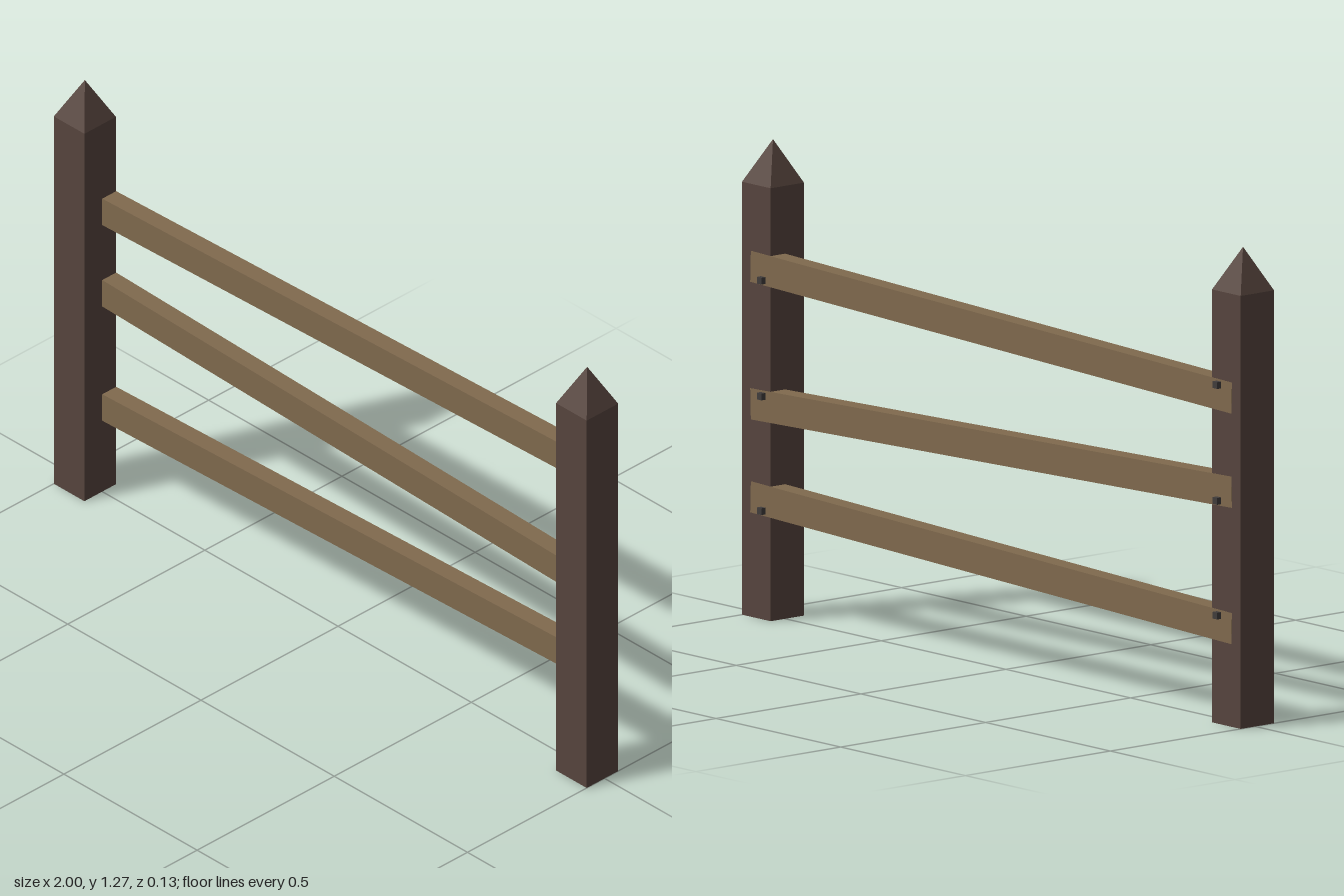
import * as THREE from 'three';

export function createModel() {
  const group = new THREE.Group();
  group.name = 'fence';

  const material = (name, color) => {
    const m = new THREE.MeshStandardMaterial({ color });
    m.name = name;
    return m;
  };
  const darkWood = material('darkWood', 0x57453e);
  const lightWood = material('lightWood', 0x806a4e);
  const iron = material('iron', 0x413d3c);

  const add = (parent, name, geometry, mat, x, y, z) => {
    const mesh = new THREE.Mesh(geometry, mat);
    mesh.name = name;
    mesh.position.set(x, y, z);
    parent.add(mesh);
    return mesh;
  };

  const W = 0.115, H = 1.155, TIP = 0.115; // post width, shaft height, point height
  const postX = 1 - W / 2, postZ = 0.0075;
  const back = postZ - W / 2;

  // Square posts with pyramid points
  const shaft = new THREE.BoxGeometry(W, H, W);
  const point = new THREE.ConeGeometry(W / Math.SQRT2, TIP, 4, 1, true)
    .rotateY(Math.PI / 4).toNonIndexed();
  point.computeVertexNormals();
  for (const side of [-1, 1]) {
    const post = new THREE.Group();
    post.name = side > 0 ? 'leftPost' : 'rightPost';
    add(post, 'postShaft', shaft, darkWood, side * postX, H / 2, postZ);
    add(post, 'postPoint', point, darkWood, side * postX, H + TIP / 2, postZ);
    group.add(post);
  }

  // Tilted rails set flush into the back of the posts, with a bolt at each end
  const rail = new THREE.BoxGeometry(1.93, 0.083, 0.051);
  const bolt = new THREE.BoxGeometry(0.018, 0.018, 0.03);
  const rails = [
    ['bottomRail', 0.291, 0.03],
    ['middleRail', 0.597, -0.03],
    ['topRail', 0.906, 0.03],
  ];
  for (const [name, y, tilt] of rails) {
    // Back face sits a hair proud of the posts
    add(group, name, rail, lightWood, 0, y, back - 0.001 + 0.0255).rotation.z = tilt;
    for (const side of [-1, 1]) add(group, 'bolt', bolt, iron, side * 0.914, y, back);
  }

  return group;
}
